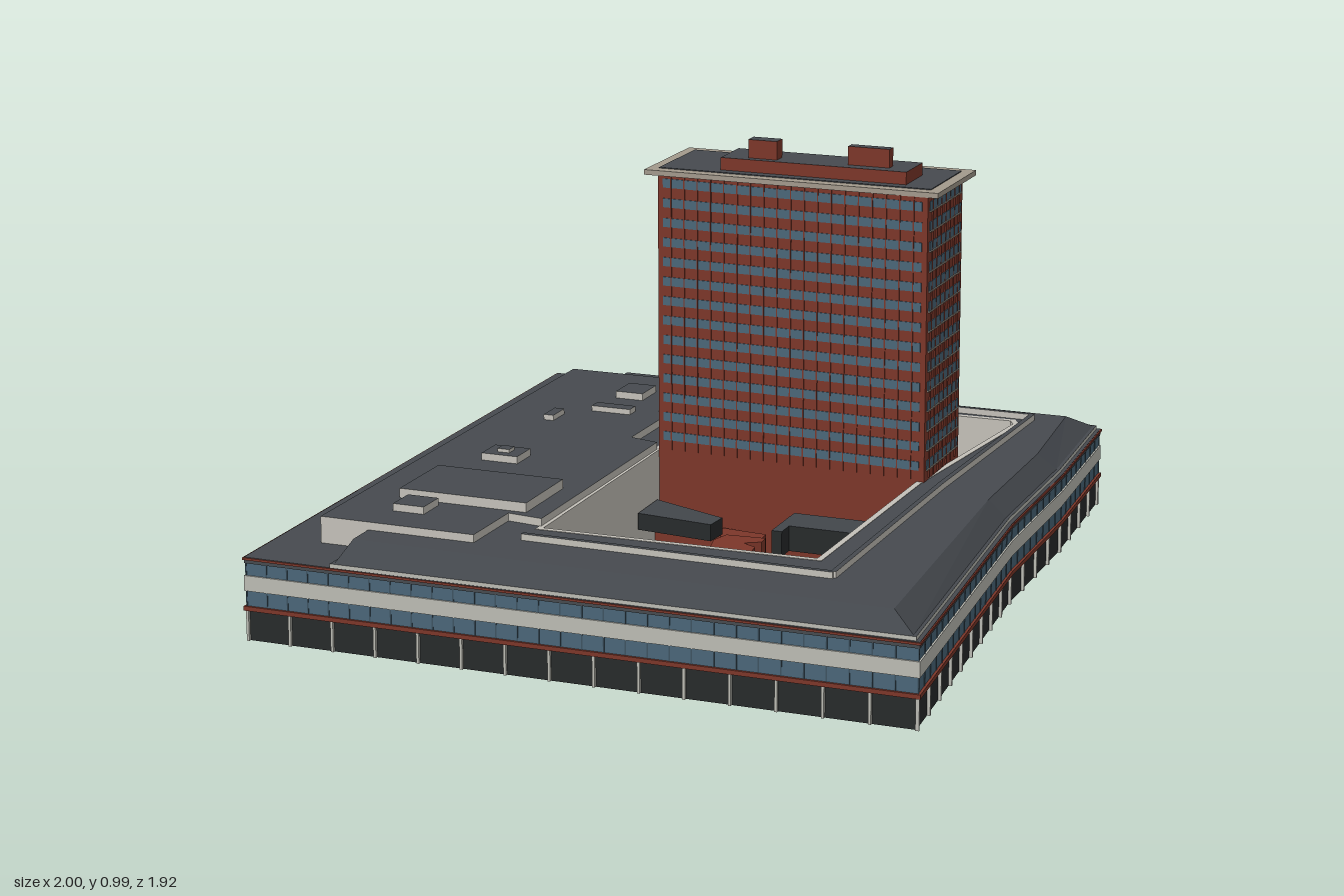
import * as THREE from 'three';
import { mergeGeometries } from 'three/addons/utils/BufferGeometryUtils.js';

const mat = (color) => new THREE.MeshStandardMaterial({ color, side: THREE.DoubleSide });
const M = {
  roof: mat(0x464a4f), slope: mat(0x42464b), dark: mat(0x272a2b), brick: mat(0x7c3629),
  glass: mat(0x4a6678), frame: mat(0x3d5361), panel: mat(0xbcbcb4), wall: mat(0xc4c1b9), rim: mat(0xa39a8c),
};
const TURN = 0.246; // the block stands at an angle to the axes

// Plans are [x, z] corners
const OUTER = [[-1, -0.55], [-0.62, 0.96], [0.2, 0.68], [0.6, 0.572], [0.995, 0.445], [0.638, -0.963]];
const COURT = [[-0.56, -0.065], [-0.39, 0.55], [0.21, 0.41], [0.49, 0.37], [0.77, 0.33], [0.79, 0.31], [0.6, -0.36]];

// Moves every edge of a plan inwards by d (outwards if negative), with mitred corners
function inset(pts, d) {
  const n = pts.length;
  const normal = (a, b) => {
    const l = Math.hypot(b[0] - a[0], b[1] - a[1]);
    return [(b[1] - a[1]) / l, (a[0] - b[0]) / l];
  };
  return pts.map((p, i) => {
    const m = normal(pts[(i + n - 1) % n], p), k = normal(p, pts[(i + 1) % n]);
    const s = d / (1 + m[0] * k[0] + m[1] * k[1]);
    return [p[0] + (m[0] + k[0]) * s, p[1] + (m[1] + k[1]) * s];
  });
}

function add(parent, name, geometry, material) {
  const mesh = new THREE.Mesh(geometry, material);
  mesh.name = name;
  parent.add(mesh);
  return mesh;
}

// Upright prism over a plan, optionally with a hole
function prism(parent, name, pts, y0, y1, cap, side = cap, hole = null) {
  const v = (list) => list.map(([x, z]) => new THREE.Vector2(x, -z));
  const shape = new THREE.Shape(v(pts));
  if (hole) shape.holes.push(new THREE.Path(v(hole)));
  const g = new THREE.ExtrudeGeometry(shape, { depth: y1 - y0, bevelEnabled: false });
  g.rotateX(-Math.PI / 2).translate(0, y0, 0);
  return add(parent, name, g, cap === side ? cap : [cap, side]);
}

const ring = (parent, name, pts, from, to, y0, y1, m) =>
  prism(parent, name, inset(pts, from), y0, y1, m, m, inset(pts, to));

// Box turned with the building, centred on x, z
function block(parent, name, x, z, w, d, y0, y1, top, side = top) {
  const mesh = add(parent, name, new THREE.BoxGeometry(w, y1 - y0, d), [side, side, top, top, side, side]);
  mesh.position.set(x, (y0 + y1) / 2, z);
  mesh.rotation.y = TURN;
}

// Evenly spaced posts along the edges of a plan
function posts(parent, name, pts, step, w, d, y0, y1, m) {
  const list = [];
  pts.forEach((p, i) => {
    const q = pts[(i + 1) % pts.length];
    const dx = q[0] - p[0], dz = q[1] - p[1];
    const n = Math.max(1, Math.round(Math.hypot(dx, dz) / step));
    for (let k = 0; k < n; k++) {
      const g = new THREE.BoxGeometry(w, y1 - y0, d);
      g.rotateY(-Math.atan2(dz, dx));
      g.translate(p[0] + dx * k / n, (y0 + y1) / 2, p[1] + dz * k / n);
      list.push(g);
    }
  });
  add(parent, name, mergeGeometries(list), m);
}

// Sloping faces between two plans with the same number of corners
function loft(parent, name, low, y0, high, y1, m) {
  const pos = [];
  low.forEach((a, i) => {
    const j = (i + 1) % low.length, b = low[j], c = high[j], d = high[i];
    const A = [a[0], y0, a[1]], B = [b[0], y0, b[1]], C = [c[0], y1, c[1]], D = [d[0], y1, d[1]];
    pos.push(...A, ...B, ...C, ...A, ...C, ...D);
  });
  const g = new THREE.BufferGeometry();
  g.setAttribute('position', new THREE.Float32BufferAttribute(pos, 3));
  g.computeVertexNormals();
  add(parent, name, g, m);
}

function podium() {
  const g = new THREE.Group();
  g.name = 'podium';
  // Hollow facade made of stacked bands
  ring(g, 'groundFloorGlazing', OUTER, 0.01, 0.018, 0, 0.07, M.dark);
  ring(g, 'brickBand', OUTER, 0, 0.018, 0.07, 0.08, M.brick);
  ring(g, 'lowerWindows', OUTER, 0.006, 0.014, 0.08, 0.115, M.glass);
  ring(g, 'panelBand', OUTER, 0.002, 0.014, 0.115, 0.15, M.panel);
  ring(g, 'upperWindows', OUTER, 0.006, 0.014, 0.15, 0.186, M.glass);
  ring(g, 'cornice', OUTER, 0, 0.014, 0.186, 0.191, M.brick);
  posts(g, 'groundPillars', inset(OUTER, 0.007), 0.1, 0.006, 0.008, 0, 0.07, M.panel);
  posts(g, 'windowMullions', inset(OUTER, 0.006), 0.05, 0.003, 0.003, 0.08, 0.186, M.frame);
  // Flat lower roof, pale step and courtyard walls
  prism(g, 'lowerRoof', inset(OUTER, 0.003), 0.178, 0.192, M.roof, M.roof, COURT);
  const step = [[-0.945, -0.345], [-0.615, 0.945], [0.2, 0.667], [0.6, 0.56], [0.983, 0.436], [0.685, -0.74]];
  prism(g, 'roofStep', step, 0.192, 0.201, M.roof, M.panel, COURT);
  ring(g, 'courtyardWalls', COURT, -0.012, 0.002, 0, 0.236, M.wall);
  // Raised deck with sloping edges
  const high = [[-0.86, -0.35], [-0.575, 0.865], [0.2, 0.612], [0.58, 0.51], [0.905, 0.395], [0.615, -0.72]];
  loft(g, 'deckSlopes', inset(step, 0.008), 0.201, high, 0.235, M.slope);
  prism(g, 'deck', high, 0.225, 0.235, M.roof, M.roof, COURT);
  // Low curb around three sides of the courtyard
  const curb = [[-0.65, -0.05], [-0.48, 0.65], [0.21, 0.48], [0.83, 0.345], [0.67, -0.3]];
  for (let i = 0; i < 4; i++) {
    const [p, q] = [curb[i], curb[i + 1]];
    const dx = q[0] - p[0], dz = q[1] - p[1];
    const c = add(g, 'roofCurb', new THREE.BoxGeometry(Math.hypot(dx, dz), 0.015, 0.012), [M.wall, M.wall, M.roof, M.roof, M.wall, M.wall]);
    c.position.set(p[0] + dx / 2, 0.242, p[1] + dz / 2);
    c.rotation.y = -Math.atan2(dz, dx);
  }
  // Upper storey along the back wing
  const back = [[-0.82, -0.48], [-0.73, -0.12], [-0.56, -0.16], [-0.55, -0.075], [0.09, -0.235],
    [0.09, -0.31], [0.3, -0.36], [0.31, -0.395], [0.6, -0.465], [0.51, -0.81]];
  prism(g, 'backUpperStorey', back, 0.192, 0.253, M.roof, M.wall);
  const units = [[-0.65, -0.35, 0.075, 0.075, 0.27], [-0.475, -0.305, 0.2, 0.31, 0.275], [-0.22, -0.44, 0.075, 0.09, 0.27],
    [-0.22, -0.44, 0.03, 0.03, 0.278], [0.125, -0.57, 0.065, 0.025, 0.266], [0.25, -0.485, 0.035, 0.1, 0.266],
    [0.4, -0.53, 0.085, 0.07, 0.27]];
  units.forEach(([x, z, w, d, y]) => block(g, 'roofUnit', x, z, w, d, 0.25, y, M.roof, M.wall));
  return g;
}

function tower() {
  const g = new THREE.Group();
  g.name = 'tower';
  g.position.set(0.2775, 0, 0.067);
  g.rotation.y = TURN;
  // Plan widens towards the front on the courtyard side
  const plan = [[-0.111, -0.3325], [-0.138, 0.3325], [0.111, 0.3325], [0.111, -0.3325]];
  const FLOORS = 14, BASE = 0.245, STEP = 0.0465;
  prism(g, 'towerBody', plan, 0, 0.9, M.brick);
  const lerp = (a, b, t) => [a[0] + (b[0] - a[0]) * t, a[1] + (b[1] - a[1]) * t];
  plan.forEach((p, i) => {
    const q = plan[(i + 1) % 4];
    const length = Math.hypot(q[0] - p[0], q[1] - p[1]);
    const angle = -Math.atan2(q[1] - p[1], q[0] - p[0]);
    // Thin strip standing on this wall, t measured along it
    const strip = (name, t, w, y, h, d, m) => {
      const [x, z] = lerp(p, q, t);
      const s = add(g, name, new THREE.BoxGeometry(w, h, d), m);
      s.position.set(x, y, z);
      s.rotation.y = angle;
    };
    // Window strips between brick corners, with pale sills on the short ends
    for (let f = 0; f < FLOORS; f++) {
      const y = BASE + STEP * (f + 0.6);
      strip('windowStrip', 0.5, length - 0.026, y, 0.021, 0.004, M.glass);
      if (i % 2) strip('windowSill', 0.5, length - 0.026, y - 0.012, 0.003, 0.008, M.rim);
    }
    // Slim brick piers between the windows
    const n = Math.round(length / 0.033);
    for (let k = 1; k < n; k++) strip('pier', k / n, 0.003, 0.57, 0.66, 0.006, M.brick);
  });
  // Overhanging roof with a pale rim
  const box = (name, w, h, d, y, m) => add(g, name, new THREE.BoxGeometry(w, h, d), m).position.set(0, y, 0);
  box('roofSlab', 0.276, 0.012, 0.712, 0.905, M.rim);
  box('roofSurface', 0.22, 0.004, 0.66, 0.911, M.roof);
  return g;
}

export function createModel() {
  const model = new THREE.Group();
  model.name = 'officeBuilding';
  model.add(podium(), tower());
  // Plant rooms on the tower roof
  block(model, 'plantRoom', 0.26, 0.11, 0.115, 0.45, 0.91, 0.942, M.roof, M.brick);
  block(model, 'plantStack', 0.208, -0.01, 0.035, 0.07, 0.94, 0.985, M.roof, M.brick);
  block(model, 'plantStack', 0.275, 0.235, 0.025, 0.1, 0.94, 0.985, M.roof, M.brick);
  // Low pavilions beside the tower
  block(model, 'sidePavilion', 0.445, 0.055, 0.085, 0.16, 0.04, 0.085, M.slope, M.dark);
  block(model, 'courtPavilion', 0.13, 0.28, 0.1, 0.3, 0.07, 0.13, M.slope, M.dark);
  block(model, 'pavilionCanopy', 0.06, 0.155, 0.12, 0.025, 0.07, 0.13, M.slope, M.dark);
  // Covered link and brick entrance in the courtyard
  prism(model, 'linkRoof', [[-0.045, -0.19], [-0.02, 0], [0.04, -0.01], [0.07, -0.22]], 0.08, 0.12, M.slope, M.dark);
  prism(model, 'brickEntrance', [[-0.06, 0.02], [-0.04, 0.08], [-0.01, 0.105], [0.03, 0.09], [0.04, 0.05],
    [0.07, 0.08], [0.1, 0.07], [0.07, -0.02], [0.02, -0.02]], 0, 0.07, M.brick);
  prism(model, 'linkWall', [[0.06, -0.22], [0.05, -0.04], [0.1, 0.06], [0.13, 0.05], [0.09, -0.22]], 0, 0.068, M.brick);
  return model;
}
